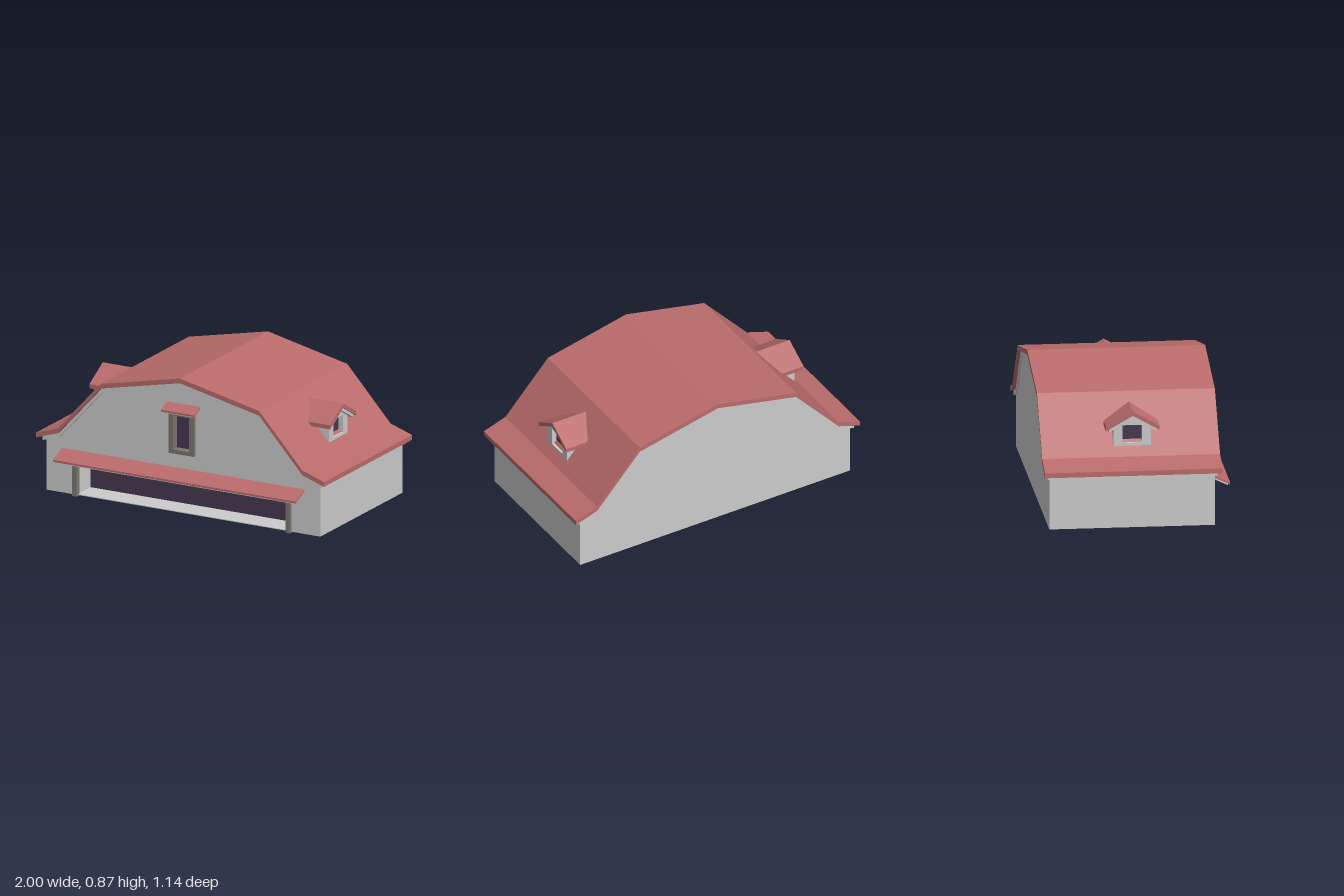
import * as THREE from 'three';

const mat = (color) => new THREE.MeshStandardMaterial({ color, flatShading: true });

export function createModel() {
  const model = new THREE.Group();
  const grey = mat(0xcccccc), red = mat(0xba6b6b), wood = mat(0x7c7670), glass = mat(0x483752);

  const add = (parent, name, geometry, material) => {
    const mesh = new THREE.Mesh(geometry, material);
    mesh.name = name;
    parent.add(mesh);
    return mesh;
  };
  const outline = (pts) => new THREE.Shape(pts.map((p) => new THREE.Vector2(...p)));
  const rect = (x0, y0, x1, y1) => [[x0, y0], [x1, y0], [x1, y1], [x0, y1]];
  const hole = (shape, ...r) => {
    shape.holes.push(new THREE.Path(rect(...r).reverse().map((p) => new THREE.Vector2(...p))));
    return shape;
  };
  // Extrude a shape between two z positions, or between two x positions (shape x is then -z)
  const alongZ = (shape, z0, z1) =>
    new THREE.ExtrudeGeometry(shape, { depth: z1 - z0, bevelEnabled: false }).translate(0, 0, z0);
  const alongX = (shape, x0, x1) =>
    new THREE.ExtrudeGeometry(shape, { depth: x1 - x0, bevelEnabled: false })
      .rotateY(Math.PI / 2).translate(x0, 0, 0);
  const box = (x0, x1, y0, y1, z0, z1) =>
    new THREE.BoxGeometry(x1 - x0, y1 - y0, z1 - z0)
      .translate((x0 + x1) / 2, (y0 + y1) / 2, (z0 + z1) / 2);
  // Mirror the right half of a profile (outer edge to ridge) to the left
  const mirror = (half) => [...half, ...half.slice(0, -1).reverse().map(([x, y]) => [-x, y])];
  // Sheet of vertical thickness t below a profile line
  const sheet = (line, t) => outline([...line, ...line.map(([x, y]) => [x, y - t]).reverse()]);

  // Walls: solid rear, front slab with door and window openings
  const wall = mirror([[0.95, 0.005], [0.95, 0.345], [0.85, 0.375], [0.55, 0.705], [0, 0.825]]);
  add(model, 'rearWalls', alongZ(outline(wall), -0.54, 0.3), grey);
  const front = hole(outline(wall), -0.735, 0.01, 0.725, 0.21);
  hole(front, -0.07, 0.395, 0.065, 0.63);
  add(model, 'frontWall', alongZ(front, 0.3, 0.465), grey);

  // Gambrel roof with grey boards beneath
  const roof = mirror([[1, 0.37], [0.85, 0.42], [0.55, 0.75], [0, 0.87]]);
  add(model, 'roof', alongZ(sheet(roof, 0.03), -0.572, 0.508), red);
  const boards = mirror([[0.97, 0.351], [0.85, 0.391], [0.55, 0.721], [0, 0.841]]);
  add(model, 'roofBoards', alongZ(sheet(boards, 0.031), -0.553, 0.48), grey);

  // Wide recessed door
  add(model, 'doorPanel', box(-0.735, 0.725, 0.01, 0.21, 0.295, 0.305), glass);
  add(model, 'doorPostRight', box(-0.76, -0.73, 0, 0.225, 0.447, 0.487), wood);
  add(model, 'doorPostLeft', box(0.72, 0.75, 0, 0.225, 0.447, 0.487), wood);
  add(model, 'doorLintel', box(-0.73, 0.72, 0.2, 0.22, 0.447, 0.482), wood);

  // Upper window
  const frame = hole(outline(rect(-0.09, 0.38, 0.085, 0.645)), -0.06, 0.405, 0.052, 0.62);
  add(model, 'windowFrame', alongZ(frame, 0.43, 0.487), wood);
  add(model, 'windowPane', box(-0.07, 0.065, 0.395, 0.63, 0.42, 0.435), glass);

  // Sloping canopies over door and window
  const canopy = (name, x0, x1, zOut, yOut) => {
    const slope = (z, dy) => [-z, yOut + (zOut - z) * 0.47 - dy];
    add(model, name, alongX(sheet([slope(0.46, 0), slope(zOut, 0)].reverse(), 0.012), x0, x1), red);
    add(model, name + 'Board',
      alongX(sheet([slope(0.46, 0.012), slope(zOut - 0.012, 0.012)].reverse(), 0.014),
        x0 + 0.015, x1 - 0.015), grey);
  };
  canopy('doorCanopy', -0.845, 0.84, 0.57, 0.238);
  canopy('windowCanopy', -0.117, 0.115, 0.536, 0.662);

  // Dormers, one on each side of the roof
  for (const side of ['left', 'right']) {
    const dormer = new THREE.Group();
    dormer.name = side + 'Dormer';
    const gable = mirror([[0.115, 0.475], [0.115, 0.592], [0, 0.655]]);
    add(dormer, 'dormerWalls', alongX(outline(gable), 0.56, 0.765), grey);
    const face = hole(outline(gable), -0.06, 0.492, 0.06, 0.603);
    add(dormer, 'dormerFront', alongX(face, 0.765, 0.8), grey);
    add(dormer, 'dormerPane', box(0.76, 0.769, 0.492, 0.603, -0.06, 0.06), glass);
    add(dormer, 'dormerRoof', alongX(sheet(mirror([[0.163, 0.603], [0, 0.696]]), 0.026), 0.58, 0.835), red);
    add(dormer, 'dormerBoards', alongX(sheet(mirror([[0.145, 0.588], [0, 0.67]]), 0.02), 0.58, 0.825), grey);
    dormer.position.z = -0.02;
    dormer.rotation.y = side === 'left' ? 0 : Math.PI;
    model.add(dormer);
  }

  return model;
}
